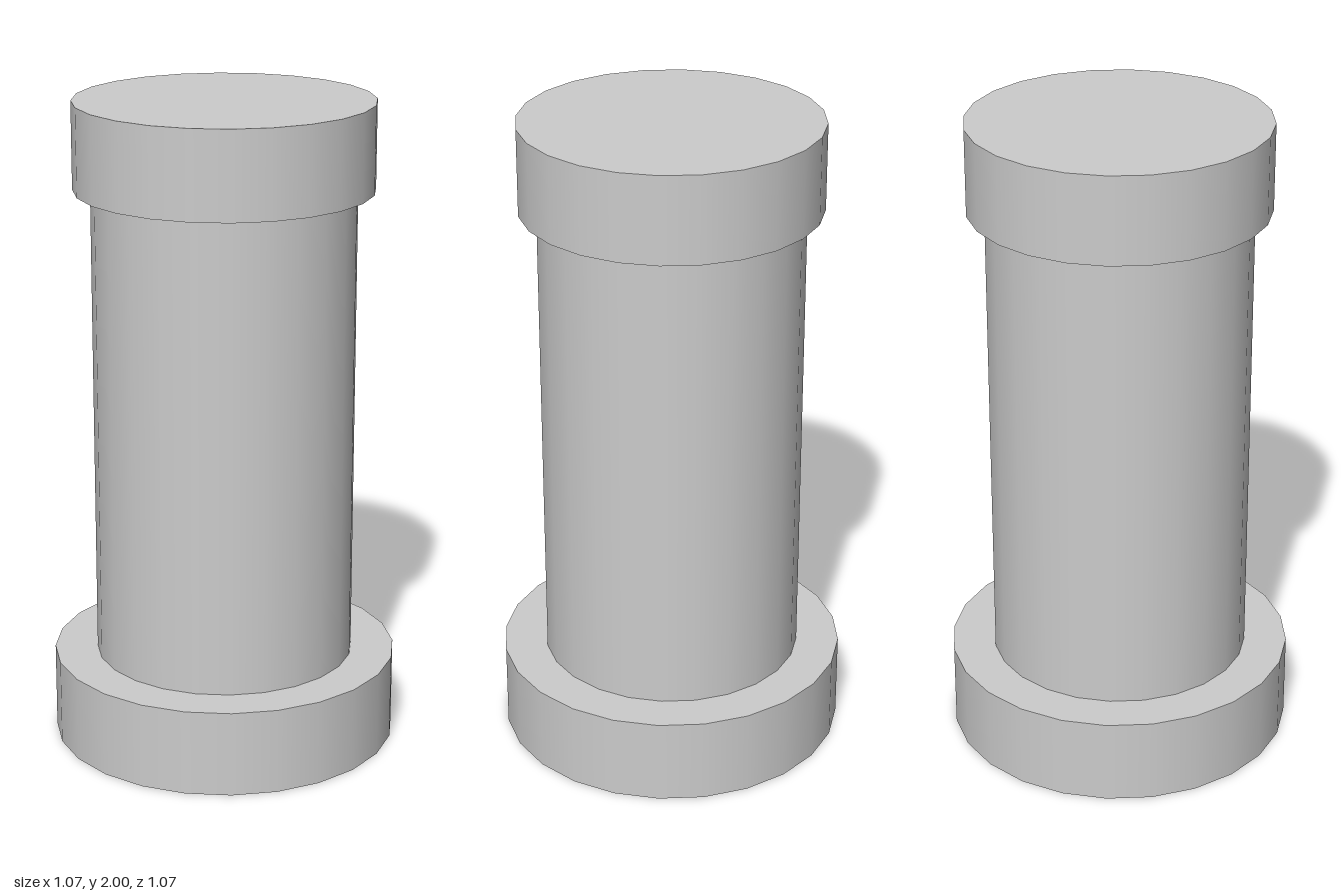
import * as THREE from 'three';

const SIDES = 24;

export function createModel() {
  const model = new THREE.Group();
  model.name = 'pillar';
  const material = new THREE.MeshStandardMaterial({ color: 0xcccccc });

  // Upright cylinder between two heights
  const addDrum = (name, radius, bottom, top) => {
    const geometry = new THREE.CylinderGeometry(radius, radius, top - bottom, SIDES);
    const mesh = new THREE.Mesh(geometry, material);
    mesh.name = name;
    mesh.position.y = (bottom + top) / 2;
    model.add(mesh);
  };

  addDrum('base', 0.533, 0, 0.267);
  addDrum('shaft', 0.4, 0.267, 1.733);
  addDrum('capital', 0.453, 1.733, 2);

  return model;
}
